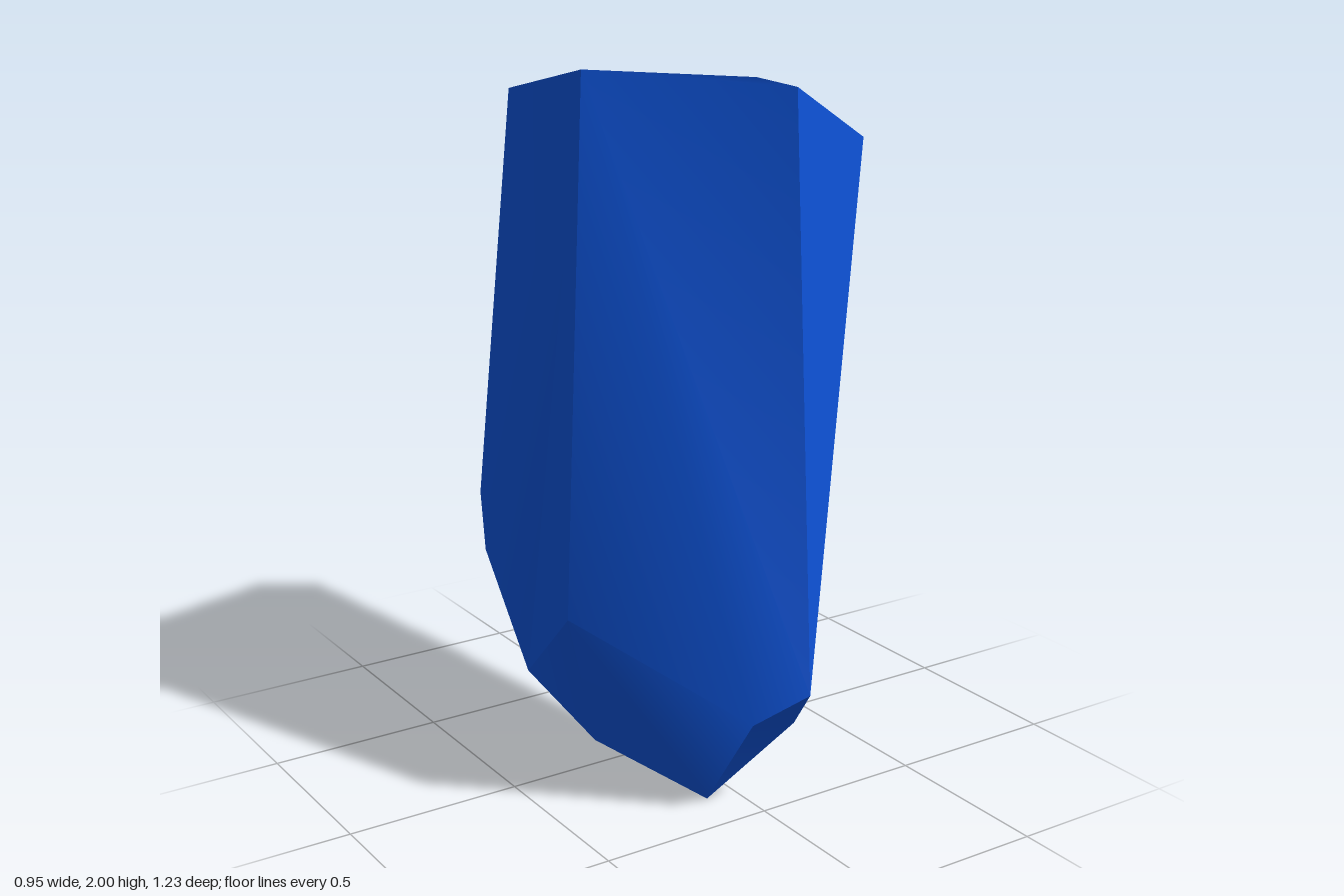
import * as THREE from 'three';
import { toCreasedNormals } from 'three/addons/utils/BufferGeometryUtils.js';

const blue = new THREE.MeshStandardMaterial({ name: 'blue', color: 0x0d52d6 });
const purple = new THREE.MeshStandardMaterial({ name: 'purple', color: 0xb050d2 });
const violet = new THREE.MeshStandardMaterial({ name: 'violet', color: 0x7a52d2 });

// Corners of the shard
const P = {
  // rim of the slanted top, clockwise from the front left
  a: [-0.37, 2.0, 0.19], a2: [0.0, 1.98, 0.42], b: [0.09, 1.955, 0.47], c: [0.475, 1.775, 0.26],
  d: [0.33, 1.7, -0.475], e: [0.17, 1.735, -0.575], f: [-0.3, 1.88, -0.31], g: [-0.36, 1.915, -0.2],
  // lower front
  h: [-0.48, 0.59, 0.275], i: [-0.075, 0.29, 0.545], j: [0.06, 0.37, 0.615],
  k: [0.08, 0.25, 0.52], l: [-0.09, 0.0, 0.355], m: [-0.35, 0.18, 0.19], n: [-0.465, 0.355, 0.03],
  // lower back
  q: [-0.455, 0.63, -0.22], r: [-0.435, 0.78, -0.28], s: [-0.335, 0.84, -0.41], p: [0.055, 1.09, -0.615],
};

// Points where the colour changes across the back right facets
const mix = (u, v, t) => P[u].map((n, i) => n + (P[v][i] - n) * t);
const onSide = (y, z) => [0.33 + 0.386 * (y - 1.7) + 0.283 * (z + 0.475), y, z];
P.t1 = mix('d', 'e', 0.38);
P.t2 = mix('d', 'e', 0.8);
P.u1 = mix('d', 'p', 0.4);
P.u2 = mix('d', 'p', 0.85);
P.v = onSide(1.01, -0.48);
P.w1 = mix('l', 'd', 0.376);
P.w2 = onSide(0.635, 0.0);

// Facets by colour, each a ring of corners
const facets = [
  [blue, [
    'a a2 b j i h',       // front
    'b c j',              // front right
    'i j k l', 'h i l m n', // lower bevels
    'a h n q r g',        // left
    'g r s f', 'f s p e', // back
    't2 e p u2', 'u2 p v', // back right tip
  ]],
  [purple, [
    'a a2 b c d e f g',   // top
    'j c k', 'k c l', 'c d l', 'd u1 w1', 'l w1 w2 v p', // right side
    'd t1 u1',            // narrow back strip
    'l p s q n m', 's r q', // underside
  ]],
  [violet, ['t1 t2 u2 u1', 'u1 u2 v w2 w1']], // blend between the two colours
];

export function createModel() {
  const centre = new THREE.Vector3(0, 1.1, 0);
  const positions = [];
  const geometry = new THREE.BufferGeometry();

  facets.forEach(([, rings], index) => {
    const start = positions.length / 3;
    for (const ring of rings) {
      const pts = ring.split(' ').map((name) => new THREE.Vector3(...P[name]));
      // fan of triangles, each turned to face outward
      for (let i = 1; i < pts.length - 1; i++) {
        const tri = new THREE.Triangle(pts[0], pts[i], pts[i + 1]);
        const normal = tri.getNormal(new THREE.Vector3());
        const outward = normal.dot(pts[0].clone().sub(centre)) > 0;
        const corners = outward ? [tri.a, tri.b, tri.c] : [tri.a, tri.c, tri.b];
        corners.forEach((v) => positions.push(v.x, v.y, v.z));
      }
    }
    geometry.addGroup(start, positions.length / 3 - start, index);
  });

  geometry.setAttribute('position', new THREE.Float32BufferAttribute(positions, 3));
  const shard = new THREE.Mesh(toCreasedNormals(geometry, 0.58), facets.map(([material]) => material));
  shard.name = 'crystalShard';

  const group = new THREE.Group();
  group.name = 'crystal';
  group.add(shard);
  return group;
}
